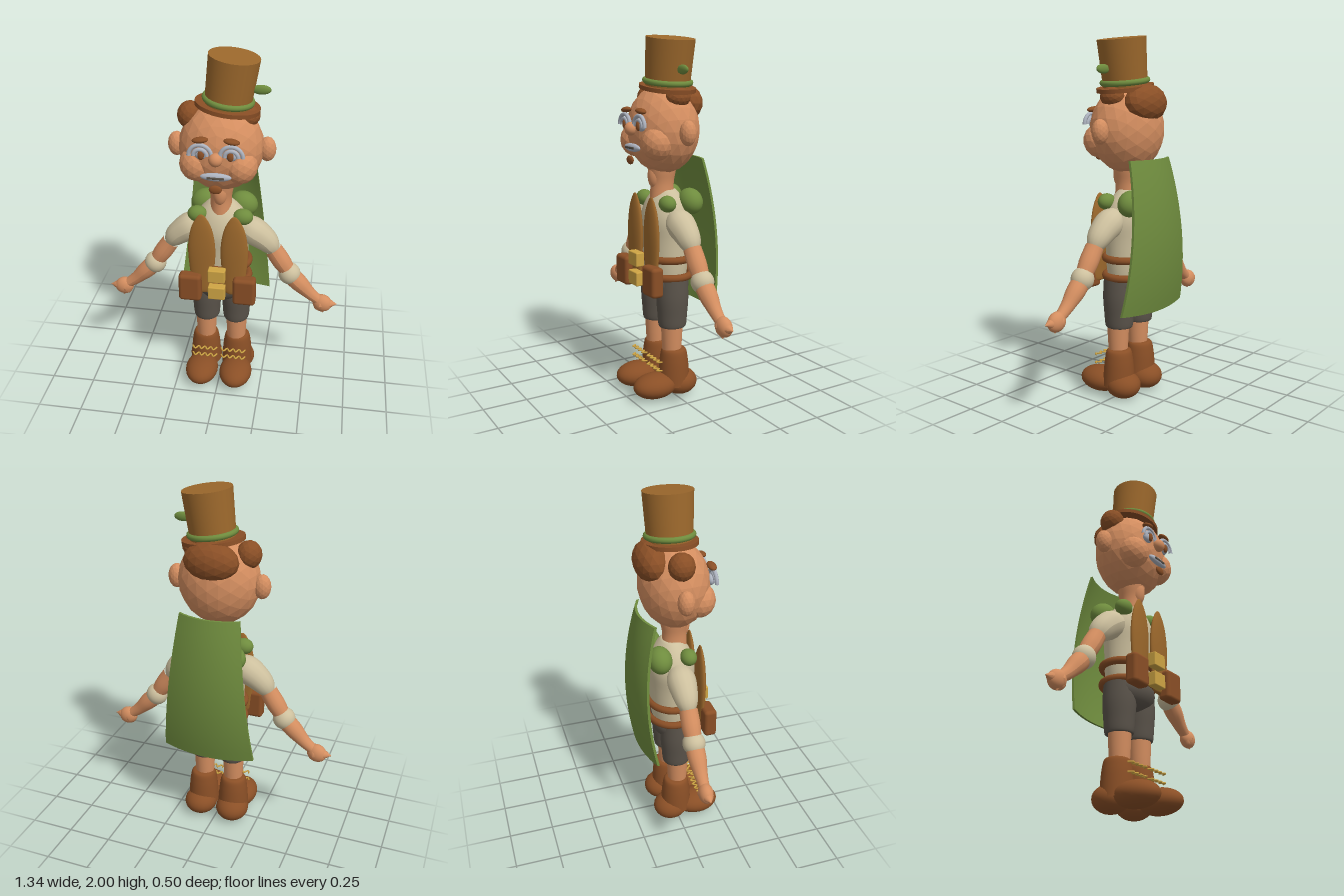
import * as THREE from 'three';
import { RoundedBoxGeometry } from 'three/addons/geometries/RoundedBoxGeometry.js';

const paint = (name, color) => {
  const m = new THREE.MeshStandardMaterial({ color });
  m.name = name;
  return m;
};

export function createModel() {
  const skin = paint('skin', 0xd48e60), brown = paint('brown leather', 0x8a4f26), tan = paint('tan felt', 0x9c682c);
  const green = paint('green cloth', 0x6f8c3e), cream = paint('cream shirt', 0xcdc09e), grey = paint('dark grey shorts', 0x5a534a);
  const gold = paint('gold', 0xcfa544), silver = paint('silver', 0xaeb4c0);

  const model = new THREE.Group();
  model.name = 'hatted adventurer';

  const add = (name, geo, mat, pos = [0, 0, 0], rot = [0, 0, 0], parent = model) => {
    const mesh = new THREE.Mesh(geo, mat);
    mesh.name = name;
    mesh.position.set(...pos);
    mesh.rotation.set(...rot);
    parent.add(mesh);
    return mesh;
  };
  const ball = (name, mat, pos, radii, rot, parent) =>
    add(name, new THREE.SphereGeometry(1, 24, 16).scale(...radii), mat, pos, rot, parent);
  // Faceted ellipsoid
  const facet = (name, mat, pos, radii, detail = 3, rot) => {
    const geo = new THREE.IcosahedronGeometry(1, detail).scale(...radii);
    geo.computeVertexNormals();
    return add(name, geo, mat, pos, rot);
  };
  // Turned shape from [radius, y] pairs, squashed in depth
  const turned = (name, mat, pairs, depth = 1, pos, rot, parent) => {
    const curve = new THREE.SplineCurve(pairs.map(p => new THREE.Vector2(...p)));
    const pts = curve.getPoints(24).map(p => p.set(Math.max(0, p.x), p.y));
    return add(name, new THREE.LatheGeometry(pts, 28).scale(1, 1, depth), mat, pos, rot, parent);
  };
  // Tapered tube along [x, y, z, radius] stations
  const limb = (name, mat, stations) => {
    const n = 20, ring = 17;
    const curve = new THREE.CatmullRomCurve3(stations.map(s => new THREE.Vector3(s[0], s[1], s[2])));
    const geo = new THREE.TubeGeometry(curve, n, 1, ring - 1);
    const radius = new THREE.SplineCurve(stations.map((s, i) => new THREE.Vector2(i, s[3])));
    const pos = geo.attributes.position, v = new THREE.Vector3();
    for (let i = 0; i <= n; i++) {
      const c = curve.getPointAt(i / n), r = Math.max(0.002, radius.getPoint(i / n).y);
      for (let j = 0; j < ring; j++) {
        v.fromBufferAttribute(pos, i * ring + j).sub(c).multiplyScalar(r).add(c);
        pos.setXYZ(i * ring + j, v.x, v.y, v.z);
      }
    }
    geo.computeVertexNormals();
    return add(name, geo, mat);
  };

  // Head and neck
  facet('head', skin, [0, 1.5, 0.01], [0.225, 0.24, 0.19]);
  turned('neck', skin, [[0.062, 1.1], [0.058, 1.2], [0.068, 1.27], [0.08, 1.34]], 1.15, [0, 0, 0.015]);
  ball('throat', skin, [0, 1.25, 0.06], [0.04, 0.075, 0.04]);
  ball('nose', skin, [0, 1.51, 0.207], [0.036, 0.036, 0.034]);

  // Face details
  ball('mouth', silver, [0, 1.41, 0.198], [0.082, 0.022, 0.018]);
  add('mouthSlit', new RoundedBoxGeometry(0.09, 0.012, 0.008, 2, 0.003), grey, [0, 1.41, 0.215]);
  ball('chinTuft', brown, [0, 1.345, 0.212], [0.034, 0.024, 0.012]);
  for (const s of [-1, 1]) {
    facet('ear', skin, [s * 0.24, 1.495, 0], [0.047, 0.068, 0.045], 2);
    facet('cheek', skin, [s * 0.115, 1.44, 0.11], [0.09, 0.095, 0.09], 2);
    for (const r of [0.058, 0.034])
      add('eyelid', new THREE.TorusGeometry(r, 0.011, 8, 24, Math.PI), silver, [s * 0.08, 1.525, 0.2]);
    ball('eye', silver, [s * 0.078, 1.53, 0.185], [0.033, 0.03, 0.022]);
    ball('iris', brown, [s * 0.075, 1.53, 0.203], [0.017, 0.026, 0.012]);
    ball('eyebrow', brown, [s * 0.08, 1.606, 0.19], [0.042, 0.015, 0.024], [0, 0, -s * 0.12]);
  }

  // Hair
  facet('backHair', brown, [0, 1.64, -0.115], [0.15, 0.105, 0.09], 2);
  facet('rightHair', brown, [-0.165, 1.66, 0], [0.068, 0.075, 0.07], 2);
  facet('leftHair', brown, [0.14, 1.675, 0], [0.06, 0.055, 0.07], 2);

  // Tilted top hat
  const hat = new THREE.Group();
  hat.name = 'hat';
  hat.position.set(0.03, 1.722, 0);
  hat.rotation.z = -0.13;
  model.add(hat);
  add('hatCrown', new THREE.CylinderGeometry(0.132, 0.12, 0.262, 40), tan, [0, 0.131, 0], [0, 0, 0], hat);
  add('hatBrim', new THREE.CylinderGeometry(0.17, 0.17, 0.022, 40).scale(1, 1, 0.86), brown, [0, 0, 0], [0, 0, 0], hat);
  add('hatBand', new THREE.TorusGeometry(0.121, 0.016, 10, 40), green, [0, 0.035, 0], [Math.PI / 2, 0, 0], hat);
  ball('hatFeather', green, [0.158, 0.118, 0.01], [0.05, 0.025, 0.015], [0, 0, 0.13], hat);

  // Shirt and shorts
  turned('shirt', cream, [[0.13, 0.64], [0.145, 0.75], [0.152, 0.9], [0.16, 1.01], [0.13, 1.1], [0.075, 1.165], [0.055, 1.172]], 0.8, [0, 0, -0.005]);
  ball('hips', grey, [0, 0.65, 0], [0.165, 0.11, 0.125]);

  for (const s of [-1, 1]) {
    // Legs
    turned('shortsLeg', grey, [[0.055, 0.41], [0.073, 0.41], [0.08, 0.48], [0.086, 0.58], [0.08, 0.7]], 1.06, [s * 0.087, 0, 0]);
    turned('shin', skin, [[0.052, 0.24], [0.057, 0.32], [0.062, 0.43]], 1, [s * 0.09, 0, 0.005]);

    // Boots
    turned('bootShaft', brown, [[0.092, 0.07], [0.087, 0.15], [0.08, 0.22], [0.068, 0.27], [0.04, 0.28]], 0.98, [s * 0.095, 0, -0.005]);
    ball('bootToe', brown, [s * 0.102, 0.078, 0.12], [0.096, 0.07, 0.13]);
    ball('bootHeel', brown, [s * 0.1, 0.075, -0.04], [0.096, 0.075, 0.1]);
    for (const y of [0.18, 0.23]) {
      const zig = Array.from({ length: 9 }, (_, i) =>
        new THREE.Vector3(s * 0.085 + (i - 4) * 0.018, y, 0.118 + (i % 2 ? 0.013 : -0.013)));
      add('bootLace', new THREE.TubeGeometry(new THREE.CatmullRomCurve3(zig), 32, 0.005, 6), gold);
    }

    // Arms
    limb('sleeve', cream, [[s * 0.09, 1.04, 0, 0.05], [s * 0.17, 1.0, 0, 0.078], [s * 0.255, 0.935, 0, 0.072], [s * 0.315, 0.845, 0, 0.052], [s * 0.322, 0.835, 0, 0.002]]);
    limb('elbow', skin, [[s * 0.29, 0.89, 0, 0.05], [s * 0.335, 0.82, 0, 0.052], [s * 0.39, 0.735, 0, 0.042]]);
    ball('cuff', cream, [s * 0.388, 0.735, 0], [0.063, 0.064, 0.062]);
    limb('forearm', skin, [[s * 0.39, 0.73, 0, 0.05], [s * 0.45, 0.67, 0, 0.05], [s * 0.51, 0.61, 0, 0.038], [s * 0.56, 0.57, 0, 0.03]]);
    ball('hand', skin, [s * 0.585, 0.55, 0], [0.057, 0.052, 0.04], [0, 0, -s * 0.5]);
    limb('fingers', skin, [[s * 0.57, 0.55, 0, 0.042], [s * 0.62, 0.55, 0, 0.036], [s * 0.65, 0.55, 0, 0.022], [s * 0.668, 0.55, 0, 0.002]]);
    limb('thumb', skin, [[s * 0.56, 0.54, 0, 0.03], [s * 0.58, 0.515, 0.005, 0.025], [s * 0.592, 0.49, 0.008, 0.003]]);

    // Shoulder knots
    ball('frontShoulderKnot', green, [s * 0.125, 1.11, 0.055], [0.055, 0.045, 0.045]);
    ball('backShoulderKnot', green, [s * 0.11, 1.11, -0.1], [0.08, 0.07, 0.065], [0, 0, -s * 0.4]);

    // Pointed vest panel
    turned('vestPanel', tan, [[0, 0.66], [0.05, 0.662], [0.064, 0.76], [0.076, 0.93], [0.058, 1.06], [0.022, 1.135], [0, 1.15]], 0.33, [s * 0.09, 0, 0.135]);

    // Belt pouch
    add('pouch', new RoundedBoxGeometry(0.127, 0.165, 0.072, 3, 0.02), brown, [s * 0.152, 0.703, 0.163]);
  }

  // Belts and buckles
  for (const [y, buckleY] of [[0.795, 0.8], [0.695, 0.69]]) {
    add('belt', new THREE.TorusGeometry(0.155, 0.021, 10, 40).scale(1, 0.83, 1), brown, [0, y, -0.01], [Math.PI / 2, 0, 0]);
    add('buckle', new RoundedBoxGeometry(0.095, 0.078, 0.05, 2, 0.006), gold, [0, buckleY, 0.18]);
  }

  // Curved cape, flaring to the hem
  const cape = new THREE.BoxGeometry(2, 1, 0.014, 16, 16, 1);
  const p = cape.attributes.position;
  for (let i = 0; i < p.count; i++) {
    const u = p.getX(i), t = p.getY(i) + 0.5;
    const half = 0.265 - 0.095 * t;
    const z = -0.205 + 0.02 * t - 0.2 * t * (1 - t) + 0.045 * u * u;
    p.setXYZ(i, u * half, 0.515 + 0.83 * t + 0.01 * u * u * (1 - t), z + p.getZ(i));
  }
  cape.computeVertexNormals();
  add('cape', cape, green);

  return model;
}
